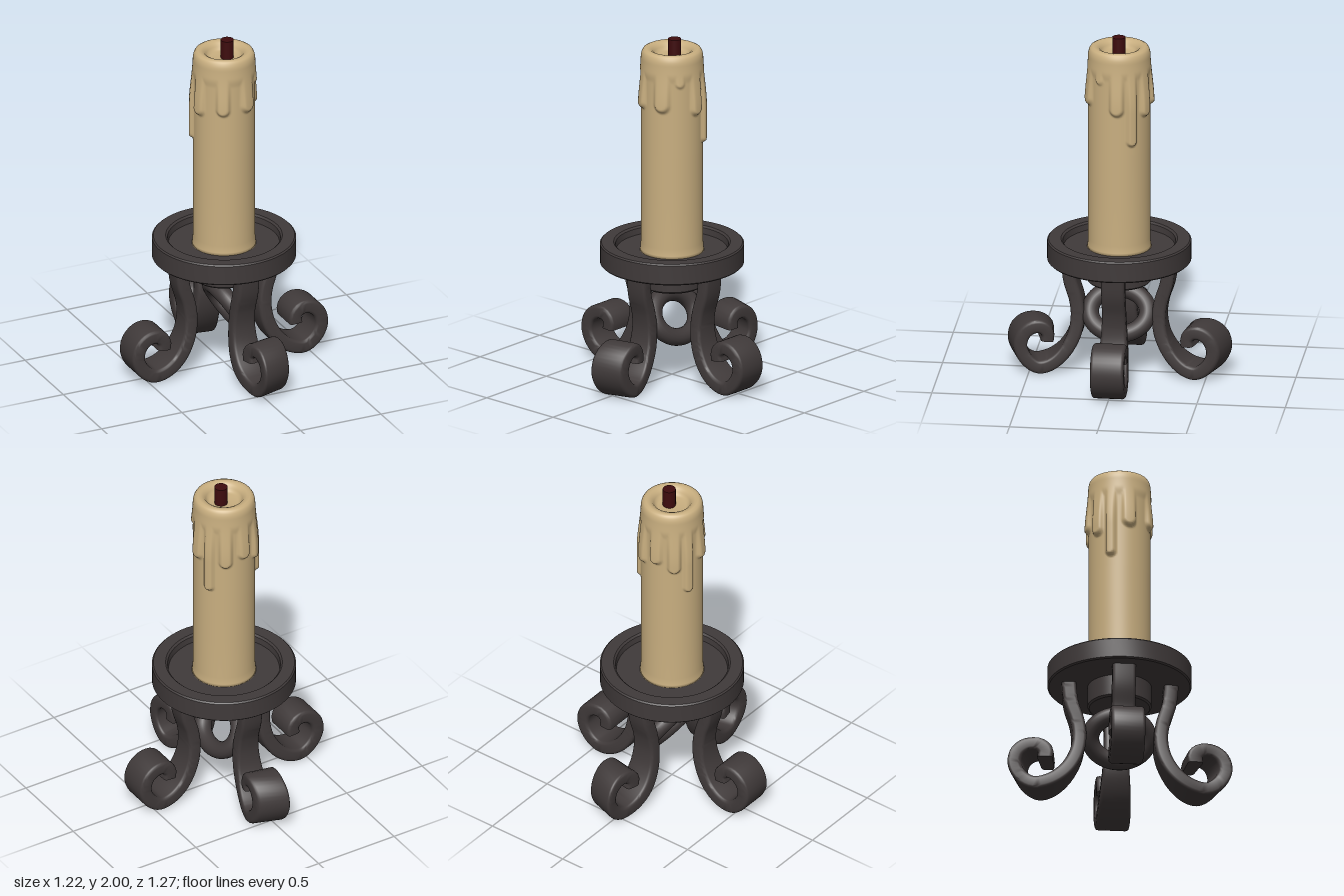
import * as THREE from 'three';
import { mergeVertices, toCreasedNormals } from 'three/addons/utils/BufferGeometryUtils.js';

const { smoothstep, degToRad } = THREE.MathUtils;
const v2 = (p) => new THREE.Vector2(p[0], p[1]);

// Scroll leg: a rounded flat bar swept along a curl, widening to the foot.
// skew turns the foot slightly sideways (-1, 0 or 1).
function legGeometry(skew) {
  const path = new THREE.CatmullRomCurve3([
    [0.29, 0.70], [0.275, 0.55], [0.24, 0.43], [0.23, 0.33], [0.25, 0.22], [0.31, 0.115],
    [0.39, 0.055], [0.47, 0.042], [0.535, 0.085], [0.57, 0.16], [0.553, 0.235],
    [0.50, 0.278], [0.44, 0.277], [0.407, 0.24], [0.41, 0.195],
  ].map(([r, y]) => new THREE.Vector3(r, y, 0)));
  const steps = 72, thick = 0.039, bevel = 0.018;
  const pos = [], index = [];
  const corners = [[1, 1], [-1, 1], [-1, -1], [1, -1]];
  const place = (r, y, lat) => {
    const k = skew * smoothstep(r, 0.22, 0.55);
    pos.push(0.045 * k + lat * (1 - 0.06 * Math.abs(k)), y, r - lat * 0.32 * k);
  };
  const n = 16;
  for (let i = 0; i <= steps; i++) {
    const u = i / steps;
    const p = path.getPointAt(u), t = path.getTangentAt(u);
    const width = 0.066 + 0.029 * smoothstep(u, 0.2, 0.6);
    corners.forEach(([sa, sb], c) => {
      for (let q = 0; q < 4; q++) {
        const ang = (c + q / 3) * Math.PI / 2;
        const a = sa * (thick - bevel) + bevel * Math.cos(ang);
        const b = sb * (width - bevel) + bevel * Math.sin(ang);
        place(p.x - a * t.y, p.y + a * t.x, b);
      }
    });
  }
  for (let i = 0; i < steps; i++) {
    for (let j = 0; j < n; j++) {
      const a = i * n + j, d = i * n + (j + 1) % n;
      index.push(a, a + n, d + n, a, d + n, d);
    }
  }
  // End caps
  [0, 1].forEach((end) => {
    const p = path.getPointAt(end), base = end * steps * n, centre = pos.length / 3;
    place(p.x, p.y, 0);
    for (let j = 0; j < n; j++) {
      const a = base + j, b = base + (j + 1) % n;
      if (end) index.push(centre, b, a);
      else index.push(centre, a, b);
    }
  });
  const g = new THREE.BufferGeometry();
  g.setAttribute('position', new THREE.Float32BufferAttribute(pos, 3));
  g.setIndex(index);
  return toCreasedNormals(g, 0.8);
}

// Candle: a lathed body whose wall swells into rounded wax runs.
function candleGeometry() {
  const R = 0.175;
  const profile = [[0, 0.74], [0.182, 0.74], [0.178, 0.76], [R, 0.8], [R, 1.05], [R, 1.3]];
  for (let y = 1.34; y < 1.895; y += 0.0085) profile.push([R, y]);
  profile.push([0.174, 1.905], [0.17, 1.922], [0.162, 1.935], [0.148, 1.942], [0.13, 1.94],
    [0.113, 1.931], [0.102, 1.915], [0.094, 1.9], [0.08, 1.893], [0, 1.89]);
  // Wax runs: angle from the front towards the left (degrees), lowest y, half width
  const drips = [
    [-27, 1.6, 0.047], [23, 1.6, 0.058], [57, 1.75, 0.034], [92, 1.57, 0.05],
    [120, 1.39, 0.036], [151, 1.55, 0.046], [187, 1.59, 0.048], [222, 1.54, 0.046],
    [249, 1.4, 0.036], [283, 1.58, 0.05],
  ];
  const g = new THREE.LatheGeometry(profile.map(v2), 144);
  const p = g.attributes.position;
  for (let i = 0; i < p.count; i++) {
    const x = p.getX(i), y = p.getY(i), z = p.getZ(i), r = Math.hypot(x, z);
    if (r < 0.17 || y < 1.31 || y > 1.93) continue;
    const phi = Math.atan2(x, z);
    let s = smoothstep(y, 1.78, 1.84);
    for (const [deg, low, w] of drips) {
      let da = phi - degToRad(deg);
      da = Math.atan2(Math.sin(da), Math.cos(da)) * 0.185;
      const d = Math.hypot(da, Math.max(0, low + w - y));
      s = Math.max(s, 1 - smoothstep(d, w * 0.5, w));
    }
    const swell = 0.023 * s * (1 - smoothstep(y, 1.6, 1.92));
    p.setXYZ(i, x * (1 + swell / r), y, z * (1 + swell / r));
  }
  g.deleteAttribute('uv');
  g.deleteAttribute('normal');
  const merged = mergeVertices(g, 1e-5);
  merged.computeVertexNormals();
  return merged;
}

export function createModel() {
  const model = new THREE.Group();
  model.name = 'candleHolder';
  const mat = (name, color) => {
    const m = new THREE.MeshStandardMaterial({ color });
    m.name = name;
    return m;
  };
  const iron = mat('darkIron', 0x403a3a);
  const wax = mat('creamWax', 0xc9af80);
  const char = mat('darkRedWick', 0x3e0c0e);
  const add = (name, geometry, material) => {
    const mesh = new THREE.Mesh(geometry, material);
    mesh.name = name;
    model.add(mesh);
    return mesh;
  };

  // Drip tray with raised rim and the socket cup below it
  const tray = new THREE.LatheGeometry([
    [0, 0.537], [0.17, 0.537], [0.18, 0.547], [0.18, 0.665], [0.397, 0.665], [0.405, 0.673],
    [0.405, 0.782], [0.397, 0.79], [0.328, 0.79], [0.317, 0.78], [0.312, 0.745], [0, 0.745],
  ].map(v2), 72);
  add('tray', toCreasedNormals(tray, 0.5), iron);

  // Four scroll legs; the front and back feet are turned a little
  [['frontLeg', 0, 1], ['leftLeg', 1, 0], ['backLeg', 2, -1], ['rightLeg', 3, 0]]
    .forEach(([name, quarter, skew]) => {
      add(name, legGeometry(skew), iron).rotation.y = quarter * Math.PI / 2;
    });

  // Tilted oval ring between the legs
  const ring = [];
  for (let i = 0; i < 24; i++) {
    const a = i / 24 * Math.PI * 2;
    ring.push(new THREE.Vector3(0.02 - 0.065 * Math.sin(a), 0.36 + 0.112 * Math.sin(a), 0.163 * Math.cos(a)));
  }
  add('ring', new THREE.TubeGeometry(new THREE.CatmullRomCurve3(ring, true), 64, 0.05, 16, true), iron);

  add('candle', candleGeometry(), wax);

  // Wick
  add('wick', new THREE.CylinderGeometry(0.037, 0.037, 0.13, 20), char).position.set(0.02, 1.935, 0);

  return model;
}
